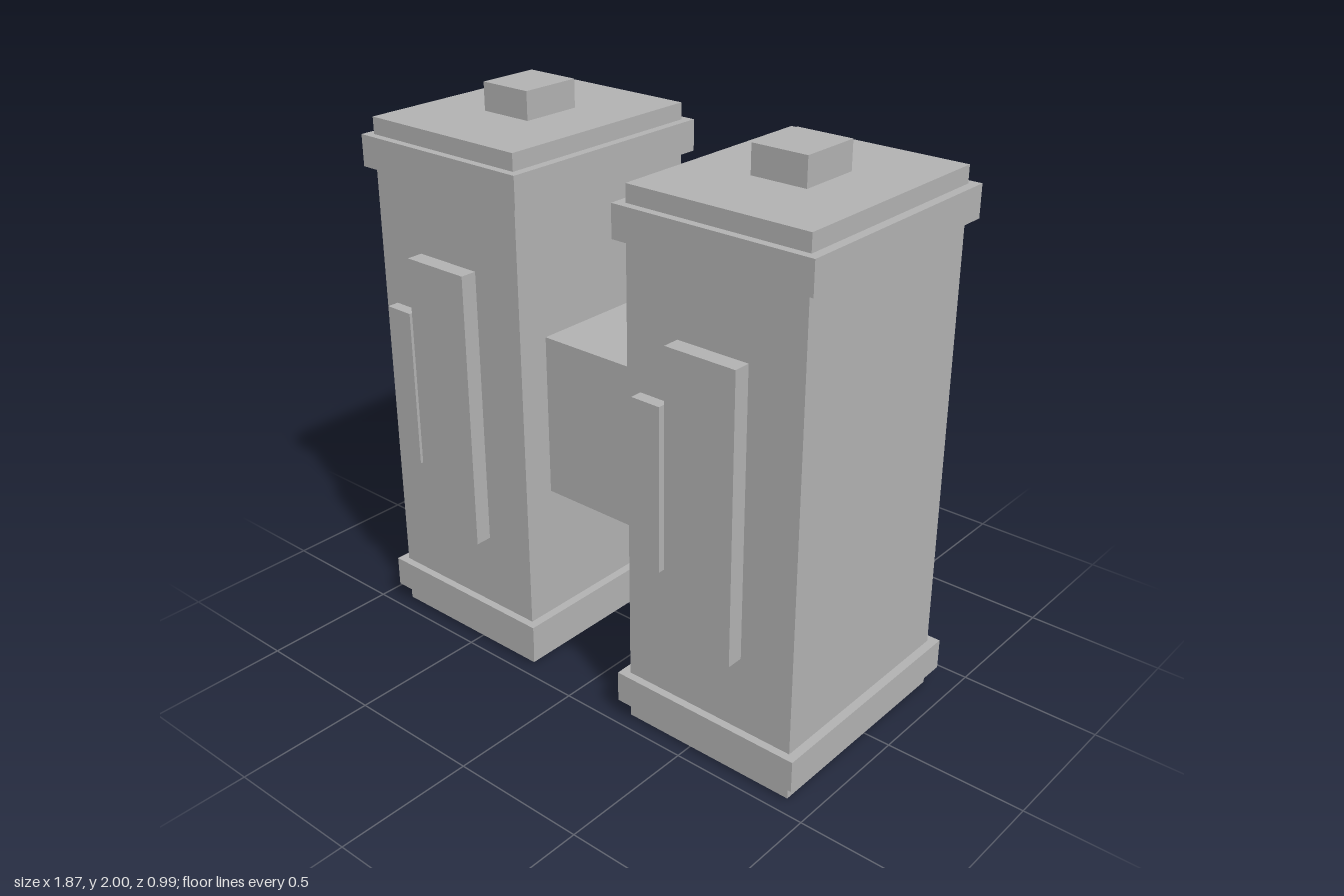
import * as THREE from 'three';

const grey = new THREE.MeshStandardMaterial({ color: 0xb2b2b2 });
grey.name = 'grey';

// Box given by its limits on each axis
function block(name, [x0, x1], [y0, y1], [z0, z1]) {
  const mesh = new THREE.Mesh(new THREE.BoxGeometry(x1 - x0, y1 - y0, z1 - z0), grey);
  mesh.position.set((x0 + x1) / 2, (y0 + y1) / 2, (z0 + z1) / 2);
  mesh.name = name;
  return mesh;
}

// One canister, centred on its own x = 0
function createCanister(name) {
  const canister = new THREE.Group();
  canister.name = name;
  canister.add(
    block('body', [-0.333, 0.333], [0, 1.9], [-0.38, 0.437]),
    block('lowerBand', [-0.365, 0.365], [0.062, 0.175], [-0.41, 0.465]),
    block('upperBand', [-0.365, 0.365], [1.728, 1.84], [-0.41, 0.465]),
    block('topKnob', [-0.102, 0.102], [1.9, 2], [-0.088, 0.14]),
    block('backPanel', [-0.189, 0.189], [0.148, 1.752], [-0.497, -0.37]),
    block('frontPanel', [-0.133, 0.133], [0.445, 1.46], [0.43, 0.497]),
    block('frontStrip', [-0.279, -0.167], [0.66, 1.243], [0.43, 0.48])
  );
  return canister;
}

export function createModel() {
  const model = new THREE.Group();
  model.name = 'twinCanisters';

  // Both canisters face the same way, so the second is a copy, not a mirror
  for (const [name, side] of [['leftCanister', 1], ['rightCanister', -1]]) {
    const canister = createCanister(name);
    canister.position.x = side * 0.568;
    model.add(canister);
  }

  // Bridge joining the canisters
  model.add(block('bridge', [-0.25, 0.25], [0.66, 1.243], [-0.265, 0.32]));
  return model;
}
